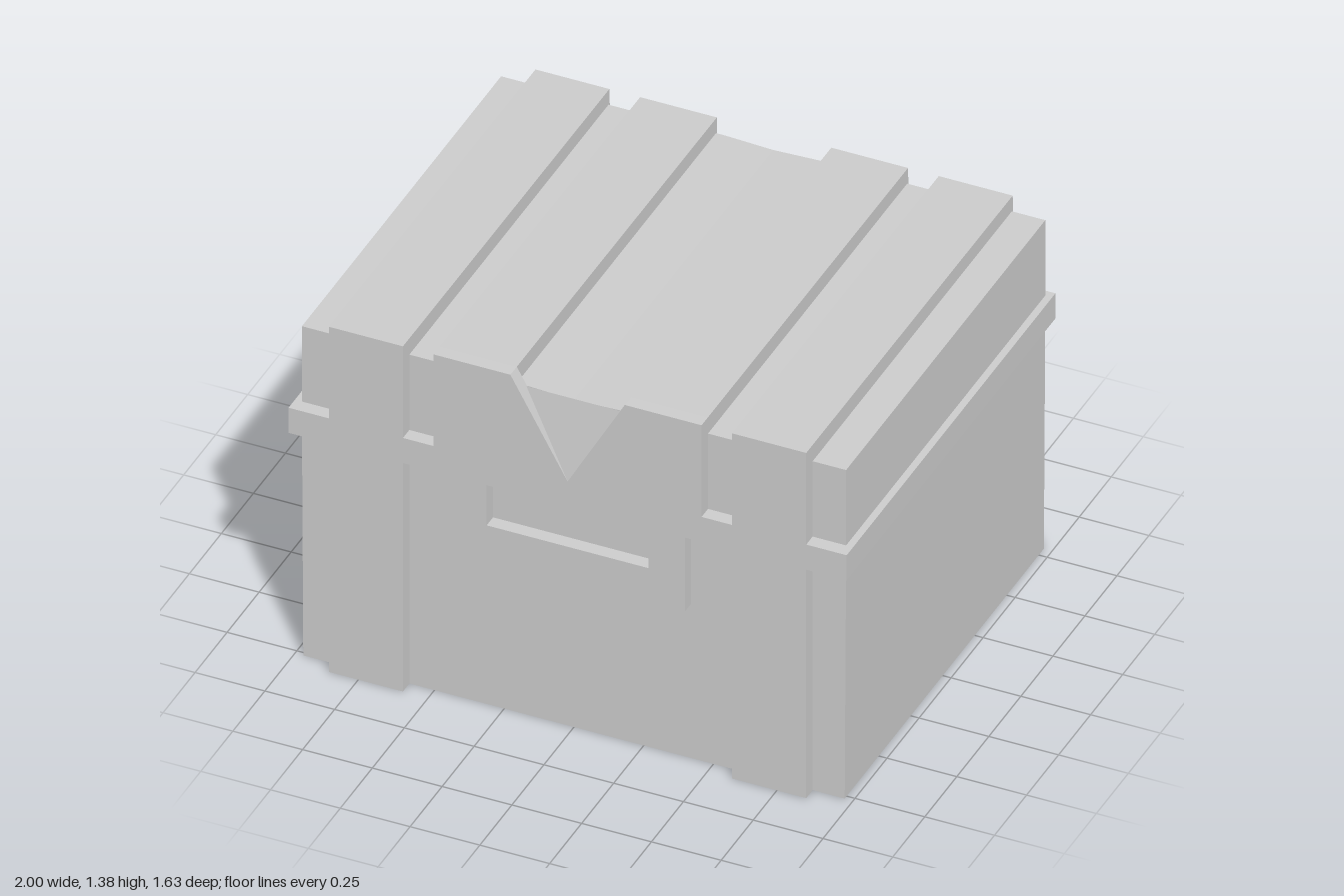
import * as THREE from 'three';

const FRONT = 0.815, BODY_FRONT = 0.765, BODY_BACK = -0.79;

export function createModel() {
  const group = new THREE.Group();
  const material = new THREE.MeshStandardMaterial({ color: 0xcccccc, flatShading: true });

  const add = (name, geometry) => {
    const mesh = new THREE.Mesh(geometry, material);
    mesh.name = name;
    group.add(mesh);
  };
  const shapeOf = (points) => new THREE.Shape(points.map(([x, y]) => new THREE.Vector2(x, y)));

  // Outline in x, y carried from back to front
  const frontPart = (name, points, back, front) => {
    const geometry = new THREE.ExtrudeGeometry(shapeOf(points), { depth: front - back, bevelEnabled: false });
    add(name, geometry.translate(0, 0, back));
  };
  // Outline in z, y carried from x0 to x1
  const sidePart = (name, points, x0, x1) => {
    const flipped = points.map(([z, y]) => [-z, y]);
    const geometry = new THREE.ExtrudeGeometry(shapeOf(flipped), { depth: x1 - x0, bevelEnabled: false });
    add(name, geometry.rotateY(Math.PI / 2).translate(x0, 0, 0));
  };

  // Chest body and lid, with a slight sag in the middle of the lid
  frontPart('body', [
    [-0.97, 0], [0.97, 0], [0.975, 0.95], [0.975, 1.31], [0.17, 1.31],
    [0, 1.303], [-0.17, 1.31], [-0.975, 1.31], [-0.975, 0.95],
  ], BODY_BACK, BODY_FRONT);

  // Rim band around the lid joint
  const band = new THREE.BoxGeometry(2, 0.1, 2 * FRONT);
  add('rimBand', band.translate(0, 0.96, 0));

  for (const side of [1, -1]) {
    const label = side > 0 ? 'left' : 'right';
    const span = (a, b) => (side > 0 ? [a, b] : [-b, -a]);

    // Outer strap wraps front, top and back
    sidePart(label + 'OuterStrap', [
      [FRONT, 0], [FRONT, 1.375], [-0.797, 1.368], [-0.812, 1.01], [-0.807, 0],
    ], ...span(0.59, 0.855));

    // Inner strap runs over the top and down the back
    sidePart(label + 'InnerStrap', [
      [BODY_FRONT, 1.2], [BODY_FRONT, 1.375], [-0.797, 1.368], [-0.812, 1.01],
      [-0.807, 0], [-0.7, 0], [-0.7, 1.2],
    ], ...span(0.205, 0.48));
  }

  // Lid front plate with a V notch
  frontPart('notchedPlate', [
    [-0.48, 0.96], [0.48, 0.96], [0.48, 1.375], [0.205, 1.375],
    [0, 1.01], [-0.205, 1.375], [-0.48, 1.375],
  ], BODY_FRONT, FRONT);

  // Sloped face inside the notch, leaning back from its tip to the lid edge
  const slope = new THREE.BufferGeometry().setFromPoints([
    new THREE.Vector3(0, 1.01, FRONT),
    new THREE.Vector3(0.17, 1.31, BODY_FRONT + 0.004),
    new THREE.Vector3(-0.17, 1.31, BODY_FRONT + 0.004),
  ]);
  slope.computeVertexNormals();
  add('notchSlope', slope);

  // Lock plate hanging below the band around a recessed window
  frontPart('lockPlate', [
    [-0.42, 0.615], [0.42, 0.615], [0.42, 0.93], [0.29, 0.93],
    [0.29, 0.75], [-0.29, 0.75], [-0.29, 0.93], [-0.42, 0.93],
  ], BODY_FRONT, FRONT);

  return group;
}
